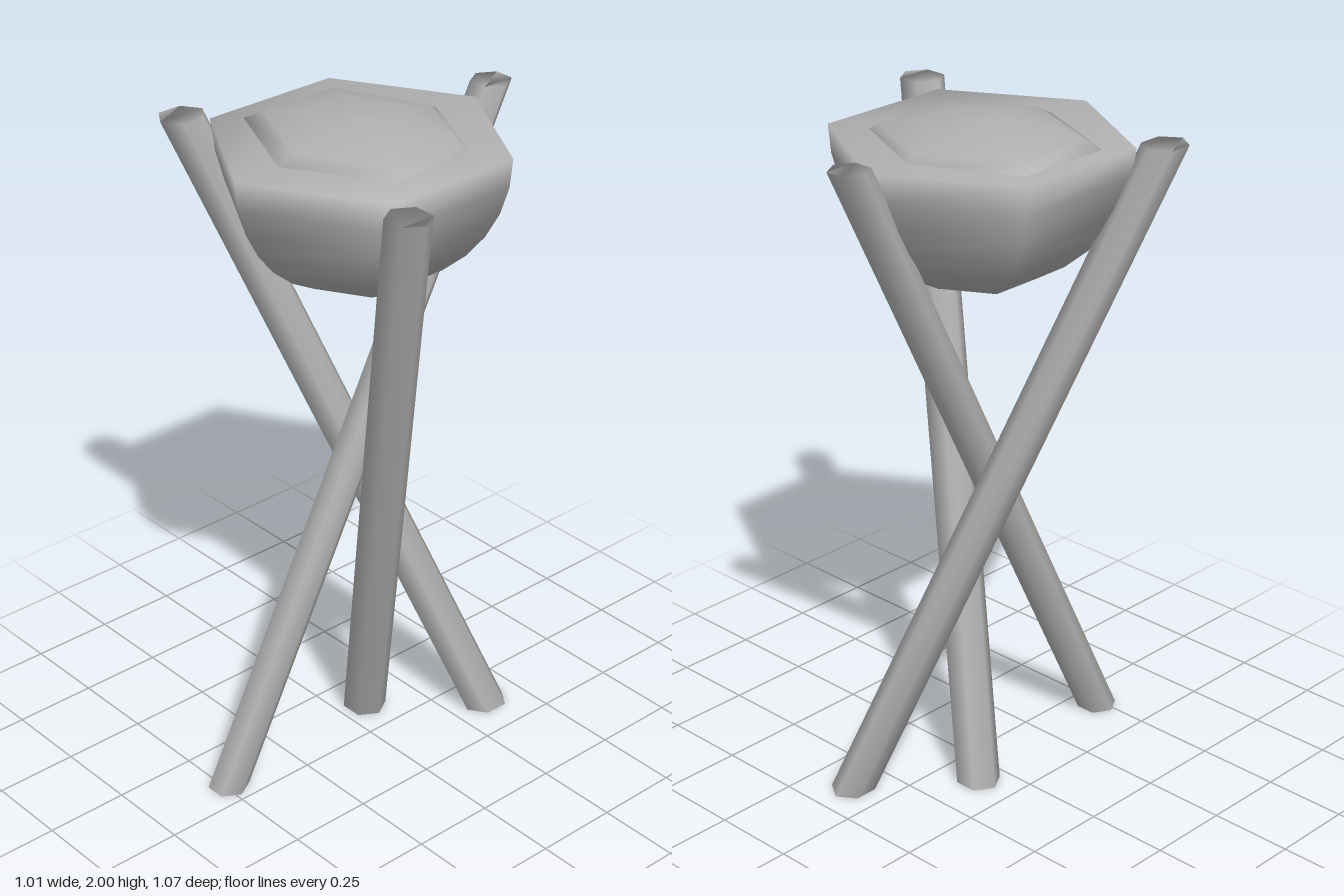
import * as THREE from 'three';

const grey = new THREE.MeshStandardMaterial({ color: 0xb0b0b0 });
grey.name = 'plain grey';

// Six-sided solid through rings [x, y, z, rx, rz, phase], bottom to top.
// Shared vertices keep the shading smooth over the edges.
function hexLoft(name, rings) {
  const pos = [], index = [], n = 6;
  for (const [x, y, z, rx, rz, phase = 0] of rings) {
    for (let i = 0; i < n; i++) {
      const a = phase + (i / n) * Math.PI * 2;
      pos.push(x + rx * Math.sin(a), y, z + rz * Math.cos(a));
    }
  }
  for (let r = 0; r < rings.length - 1; r++) {
    for (let i = 0; i < n; i++) {
      const a = r * n + i, b = r * n + (i + 1) % n;
      index.push(a, b, b + n, a, b + n, a + n);
    }
  }
  const top = (rings.length - 1) * n;
  for (let i = 1; i < n - 1; i++) {
    index.push(0, i + 1, i);
    index.push(top, top + i, top + i + 1);
  }
  const geo = new THREE.BufferGeometry();
  geo.setAttribute('position', new THREE.Float32BufferAttribute(pos, 3));
  geo.setIndex(index);
  geo.computeVertexNormals();
  const mesh = new THREE.Mesh(geo, grey);
  mesh.name = name;
  return mesh;
}

export function createModel() {
  const model = new THREE.Group();
  model.name = 'tripodBrazier';

  // Three crossed poles, cut level at both ends
  const t = Math.PI / 6;
  const pole = (name, b, top, rx, rz, phase) =>
    model.add(hexLoft(name, [[...b, rx, rz, phase], [...top, rx, rz, phase]]));
  pole('rightPole', [0.112, 0, -0.37], [-0.45, 1.95, 0.285], 0.062, 0.072, 0);
  pole('leftPole', [-0.122, 0, -0.085], [0.436, 1.95, 0.26], 0.067, 0.064, t);
  pole('backPole', [-0.08, 0, 0.485], [-0.04, 1.97, -0.482], 0.06, 0.06, t);

  // Hexagonal half-sphere bowl with a closed level top
  const R = 0.427, rimY = 1.94, steps = 8, bowl = [];
  for (let i = 0; i <= steps; i++) {
    const a = (i / steps) * Math.PI / 2;
    const r = Math.max(R * Math.sin(a), 0.001);
    bowl.push([-0.03, rimY - R * Math.cos(a), 0.013, r, r]);
  }
  model.add(hexLoft('bowl', bowl));

  // Low mound heaped in the bowl, tilted slightly
  const mound = hexLoft('mound', [
    [0, -0.06, 0, 0.33, 0.29],
    [0, -0.01, 0, 0.355, 0.305],
    [0, 0.022, 0, 0.29, 0.25],
    [0, 0.045, 0, 0.18, 0.16],
    [0, 0.056, 0, 0.08, 0.07],
    [0, 0.06, 0, 0.001, 0.001],
  ]);
  mound.position.set(-0.04, 1.94, -0.005);
  mound.rotation.set(-0.02, 0.03, -0.02);
  model.add(mound);

  return model;
}
